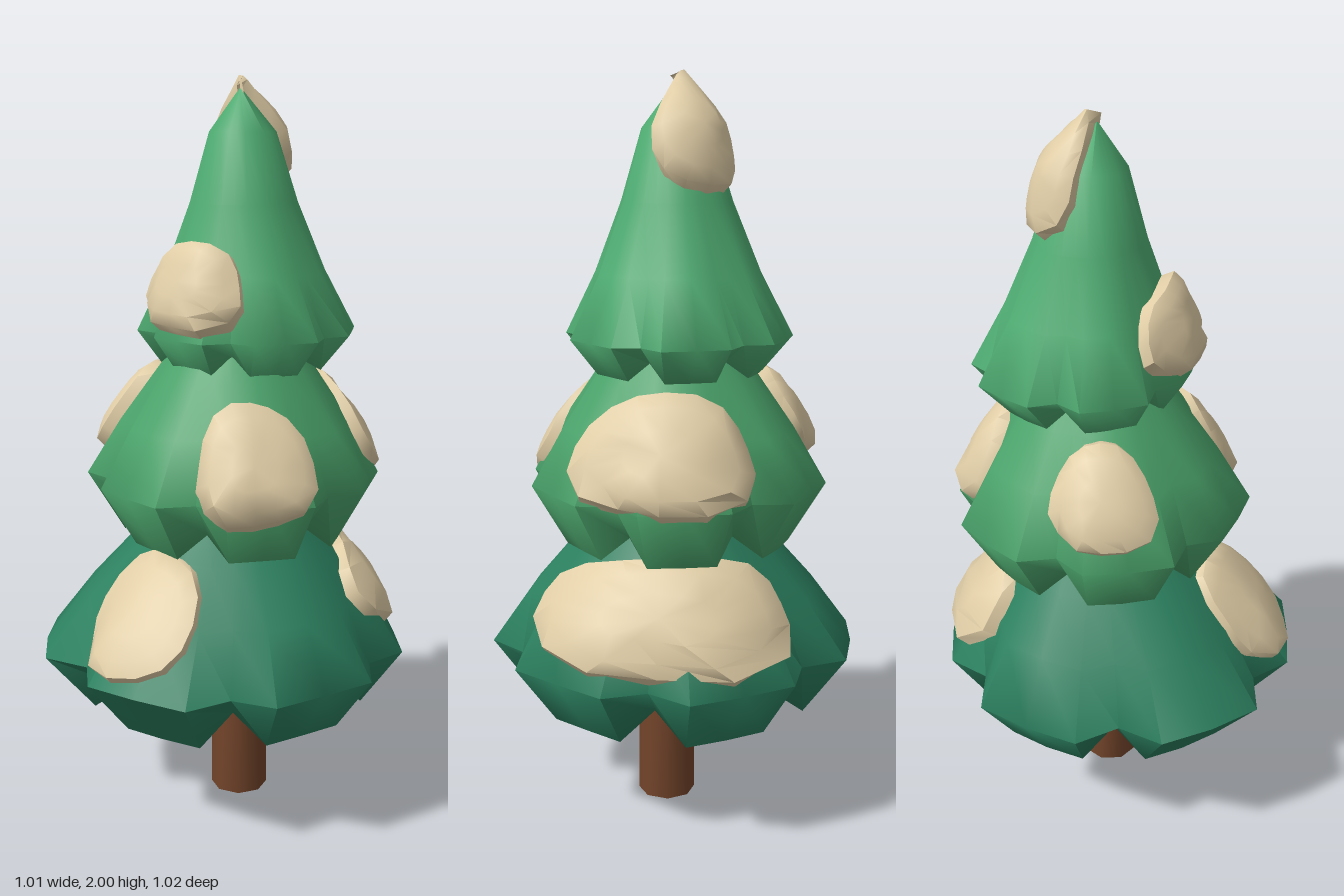
import * as THREE from 'three';
import { toCreasedNormals } from 'three/addons/utils/BufferGeometryUtils.js';

const { lerp, clamp, degToRad, euclideanModulo } = THREE.MathUtils;
const mat = (name, color) => Object.assign(new THREE.MeshStandardMaterial({ color }), { name });

// Tier profiles from top to underside: [height share, width share]
const SKIRT = [[1, 0.36], [0.8, 0.56], [0.56, 0.79], [0.29, 1], [0, 0.76], [0.14, 0.45], [0.2, 0.01]];
const CONE = [[1, 0.01], [0.85, 0.31], [0.6, 0.5], [0.35, 0.74], [0.13, 1], [0, 0.75], [0.06, 0.45], [0.09, 0.01]];

// Skin a list of closed rings of points; each ring joins to the next
function skin(rings, crease) {
  const n = rings[0].length, index = [];
  for (let i = 0; i < rings.length - 1; i++) {
    for (let j = 0; j < n; j++) {
      const a = i * n + j, b = i * n + (j + 1) % n;
      index.push(a, b, a + n, b, b + n, a + n);
    }
  }
  const g = new THREE.BufferGeometry();
  g.setAttribute('position', new THREE.Float32BufferAttribute(rings.flat(2), 3));
  g.setIndex(index);
  return toCreasedNormals(g, crease);
}

// Six flat-ended lobes: corner, middle, corner, notch
function makeRim({ turn, radius }) {
  return Array.from({ length: 24 }, (_, j) => {
    const k = j % 4;
    return {
      a: euclideanModulo(turn + Math.floor(j / 4) * 60 + [-17, 0, 17, 30][k], 360),
      r: radius * [1, 0.97, 1, 0.86][k] * (1 + 0.015 * Math.sin(j * 5)),
      notch: k === 3 ? 1 : 0,
    };
  }).sort((p, q) => p.a - q.a);
}

// Rim radius and notch amount at any angle
function rimAt(rim, deg) {
  const a = euclideanModulo(deg, 360);
  const i = Math.max(0, rim.findIndex((p) => p.a > a));
  const q = rim[i], p = rim.at(i - 1);
  const t = euclideanModulo(a - p.a, 360) / euclideanModulo(q.a - p.a, 360);
  return { r: lerp(p.r, q.r, t), notch: lerp(p.notch, q.notch, t) };
}

// Point on one profile row; lobes grow towards the widest row, notches lift the hem
function rowPoint(tier, deg, i) {
  const [share, s] = tier.profile[i];
  const { r, notch } = rimAt(tier.rim, deg);
  const below = i > tier.widest, h = tier.top - tier.bottom;
  const rad = s * lerp(tier.radius * 0.96, r, below ? 1 : s * s);
  const [cx, cz] = tier.centre;
  return new THREE.Vector3(
    cx * s + rad * Math.cos(degToRad(deg)),
    tier.bottom + h * share + (below ? 0.2 * s * notch * tier.radius : 0),
    lerp(-0.06, cz, s) + rad * Math.sin(degToRad(deg)),
  );
}

// Point on a tier's outer slope at a given height, raised by off
function slopePoint(tier, deg, y, off) {
  const rowY = (i) => lerp(tier.bottom, tier.top, tier.profile[i][0]);
  let i = 0;
  while (i < tier.widest && rowY(i + 1) > y) i++;
  const t = clamp((rowY(i) - y) / (rowY(i) - rowY(i + 1)), 0, 1);
  const out = new THREE.Vector3(0.85 * Math.cos(degToRad(deg)), 0.5, 0.85 * Math.sin(degToRad(deg)));
  const p = rowPoint(tier, deg, i).lerp(rowPoint(tier, deg, i + 1), t).addScaledVector(out, off);
  p.y += Math.max(0, y - tier.top);
  return p;
}

// Snow pad that hugs a tier's slope, domed in the middle and tucked in at the edge
function snowPad(tier, { deg, half, low, high, h = 0.035 }) {
  const n = 16, mid = (low + high) / 2, tall = (high - low) / 2;
  const rings = [[0, h], [0.35, h], [0.7, h * 0.9], [0.93, h * 0.6], [1, -0.02]].map(([rho, off]) =>
    Array.from({ length: n }, (_, j) => {
      const a = j / n * Math.PI * 2, c = Math.cos(a), s = Math.sin(a);
      const square = (Math.abs(c) ** 2.6 + Math.abs(s) ** 2.6) ** (-1 / 2.6);
      const reach = rho * square * (1 + 0.05 * Math.sin(3 * a + deg));
      return slopePoint(tier, deg + half * reach * c, mid + tall * reach * s, off).toArray();
    }));
  return skin(rings, 0.9);
}

export function createModel() {
  const tree = new THREE.Group();
  tree.name = 'snowyFir';
  const snow = mat('snow', 0xe0cda6);
  const add = (name, geometry, material) => {
    const m = new THREE.Mesh(geometry, material);
    m.name = name;
    tree.add(m);
    return m;
  };

  // Trunk
  const trunk = toCreasedNormals(new THREE.CylinderGeometry(0.074, 0.08, 0.56, 8), 0.9);
  add('trunk', trunk, mat('bark', 0x74452b)).position.set(0.022, 0.28, -0.04);

  // One tier of branches with its snow pads (angles run from +x towards +z)
  const addTier = (tier, pads) => {
    tier.rim = makeRim(tier);
    tier.widest = tier.profile.findIndex(([, s]) => s === 1);
    const rings = tier.profile.map((_, i) => tier.rim.map((p) => rowPoint(tier, p.a, i).toArray()));
    add(tier.name, skin(rings, 1.29), tier.material);
    pads.forEach((pad, i) => add(`${tier.name}Snow${i + 1}`, snowPad(tier, pad), snow));
  };

  addTier({
    name: 'lowerBranches', material: mat('darkGreen', 0x2c8060), profile: SKIRT,
    centre: [0, 0], radius: 0.51, turn: 11, top: 0.87, bottom: 0.3,
  }, [
    { deg: 81, half: 26, low: 0.49, high: 0.78 },
    { deg: 278, half: 60, low: 0.49, high: 0.78, h: 0.045 },
  ]);
  addTier({
    name: 'middleBranches', material: mat('midGreen', 0x4ba36b), profile: SKIRT,
    centre: [-0.01, -0.05], radius: 0.405, turn: 30, top: 1.34, bottom: 0.77,
  }, [
    { deg: 36, half: 27, low: 0.87, high: 1.19 },
    { deg: 160, half: 25, low: 0.97, high: 1.22, h: 0.055 },
    { deg: 279, half: 44, low: 0.91, high: 1.21, h: 0.045 },
  ]);
  addTier({
    name: 'upperBranches', material: mat('lightGreen', 0x4fac72), profile: CONE,
    centre: [-0.01, -0.1], radius: 0.3, turn: 24, top: 1.97, bottom: 1.24,
  }, [
    { deg: 84, half: 40, low: 1.345, high: 1.575, h: 0.06 },
    { deg: 240, half: 66, low: 1.7, high: 2, h: 0.05 },
  ]);

  return tree;
}
